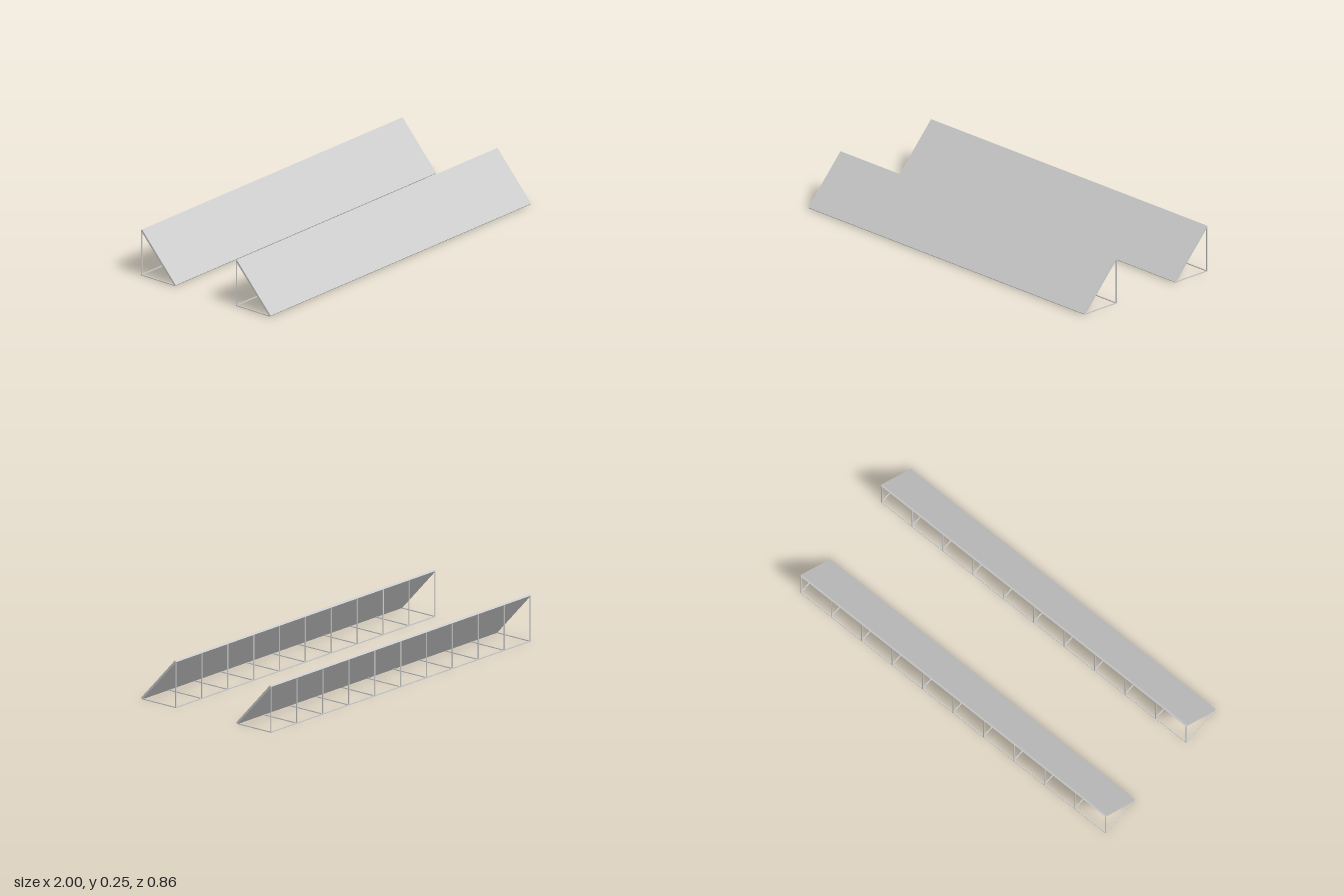
import * as THREE from 'three';

const LENGTH = 2, BAR = 0.005, FRAMES = 11;
const BACK = 0.2, FRONT = 0.425; // depth of the front row's support frames
const material = new THREE.MeshStandardMaterial({ color: 0xcccccc, flatShading: true });

function bar(name, w, h, d, x, y, z) {
  const mesh = new THREE.Mesh(new THREE.BoxGeometry(w, h, d), material);
  mesh.name = name;
  mesh.position.set(x, y, z);
  return mesh;
}

function createRow(name) {
  const row = new THREE.Group();
  row.name = name;

  // Sloping panel: side profile (z, y) extruded along x
  const profile = new THREE.Shape([
    [0.423, 0], [0.431, 0.007], [0.207, 0.25], [0.199, 0.242],
  ].map(([z, y]) => new THREE.Vector2(z, y)));
  const geometry = new THREE.ExtrudeGeometry(profile, { depth: LENGTH, bevelEnabled: false });
  geometry.translate(0, 0, -LENGTH / 2).rotateY(-Math.PI / 2);
  const panel = new THREE.Mesh(geometry, material);
  panel.name = 'slopingPanel';
  row.add(panel);

  // Rail along the foot of the posts
  const z = BACK + BAR / 2;
  row.add(bar('backRail', LENGTH, BAR, BAR, 0, BAR / 2, z));

  // Thin frames: an upright post and a floor bar each
  for (let i = 0; i < FRAMES; i++) {
    const x = (i / (FRAMES - 1) - 0.5) * (LENGTH - BAR);
    const frame = new THREE.Group();
    frame.name = 'supportFrame';
    frame.add(bar('post', BAR, 0.243, BAR, x, 0.1215, z));
    frame.add(bar('floorBar', BAR, BAR, FRONT - BACK, x, BAR / 2, (FRONT + BACK) / 2));
    row.add(frame);
  }
  return row;
}

export function createModel() {
  const model = new THREE.Group();
  model.name = 'panelRows';
  const front = createRow('frontRow');
  const back = createRow('backRow');
  back.position.z = -0.63;
  model.add(front, back);
  return model;
}
